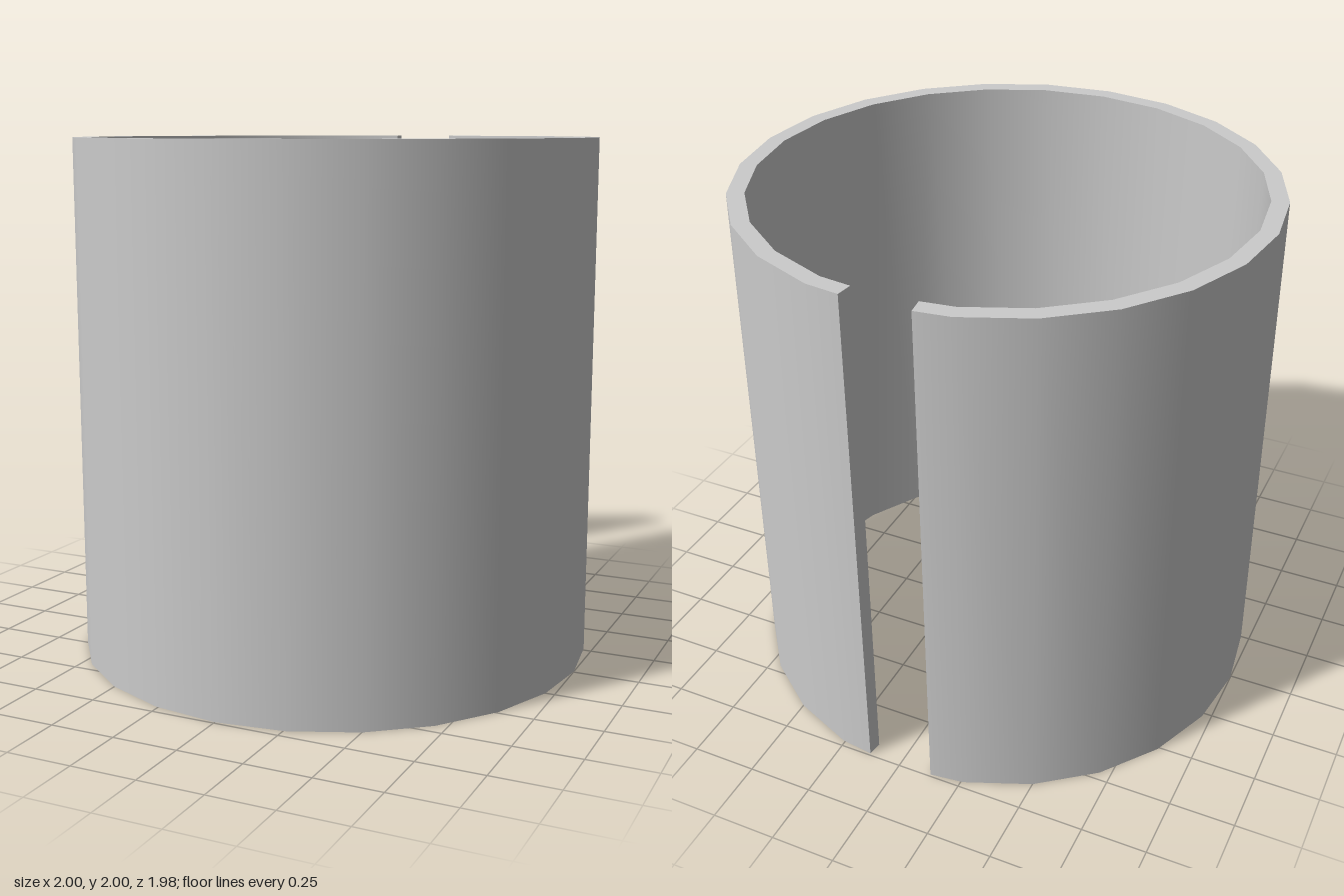
import * as THREE from 'three';

const SIDES = 24, STEP = (Math.PI * 2) / SIDES, HEIGHT = 2;
const OUTER = 1, INNER = 0.935, Z_SHIFT = -0.0085;

// Angle is measured from the slit at the back (-z) round towards +x.
const point = (t, r, y) => new THREE.Vector3(Math.sin(t) * r, y, -Math.cos(t) * r);

// Open ring whose two ends sit on the middle of the missing back edges.
function slitRing(r, y) {
  const ring = [];
  for (let i = 0; i <= SIDES; i++) {
    const end = i === 0 || i === SIDES;
    const t = i === 0 ? STEP / 2 : i === SIDES ? STEP * (SIDES - 0.5) : STEP * i;
    ring.push(point(t, end ? r * Math.cos(STEP / 2) : r, y));
  }
  return ring;
}

// Open ring turned by half a side.
function halfTurnedRing(r, y) {
  return Array.from({ length: SIDES }, (_, i) => point(STEP * (i + 0.5), r, y));
}

// Strip between two rows; radial = 1 or -1 gives smooth normals, 0 flat ones.
function bridge(name, a, b, radial = 0) {
  const pts = [];
  for (let i = 0; i < a.length - 1; i++) {
    pts.push(a[i], a[i + 1], b[i]);
    if (i + 1 < b.length) pts.push(b[i], a[i + 1], b[i + 1]);
  }
  const geo = new THREE.BufferGeometry().setFromPoints(pts);
  geo.computeVertexNormals();
  if (radial) {
    pts.forEach((p, i) => {
      const n = new THREE.Vector3(p.x, 0, p.z).normalize().multiplyScalar(radial);
      geo.attributes.normal.setXYZ(i, n.x, n.y, n.z);
    });
  }
  const mesh = new THREE.Mesh(geo, new THREE.MeshStandardMaterial({ color: 0xcccccc }));
  mesh.name = name;
  return mesh;
}

export function createModel() {
  const group = new THREE.Group();
  group.name = 'slitSleeve';

  const outTop = slitRing(OUTER, HEIGHT), outBottom = slitRing(OUTER, 0);
  const inTop = slitRing(INNER, HEIGHT), inBottom = halfTurnedRing(INNER, 0);
  const last = (row) => row[row.length - 1];

  group.add(
    // Walls
    bridge('outerWall', outTop, outBottom, 1),
    bridge('innerWall', [...inTop].reverse(), [...inBottom].reverse(), -1),
    // Rims
    bridge('topRim', inTop, outTop),
    bridge('bottomRim', outBottom, inBottom),
    // Faces of the slit
    bridge('leftSlitFace', [inTop[0], outTop[0]], [inBottom[0], outBottom[0]]),
    bridge('rightSlitFace', [last(outTop), last(inTop)], [last(outBottom), last(inBottom)])
  );
  group.children.forEach((m) => (m.position.z = Z_SHIFT));
  return group;
}
